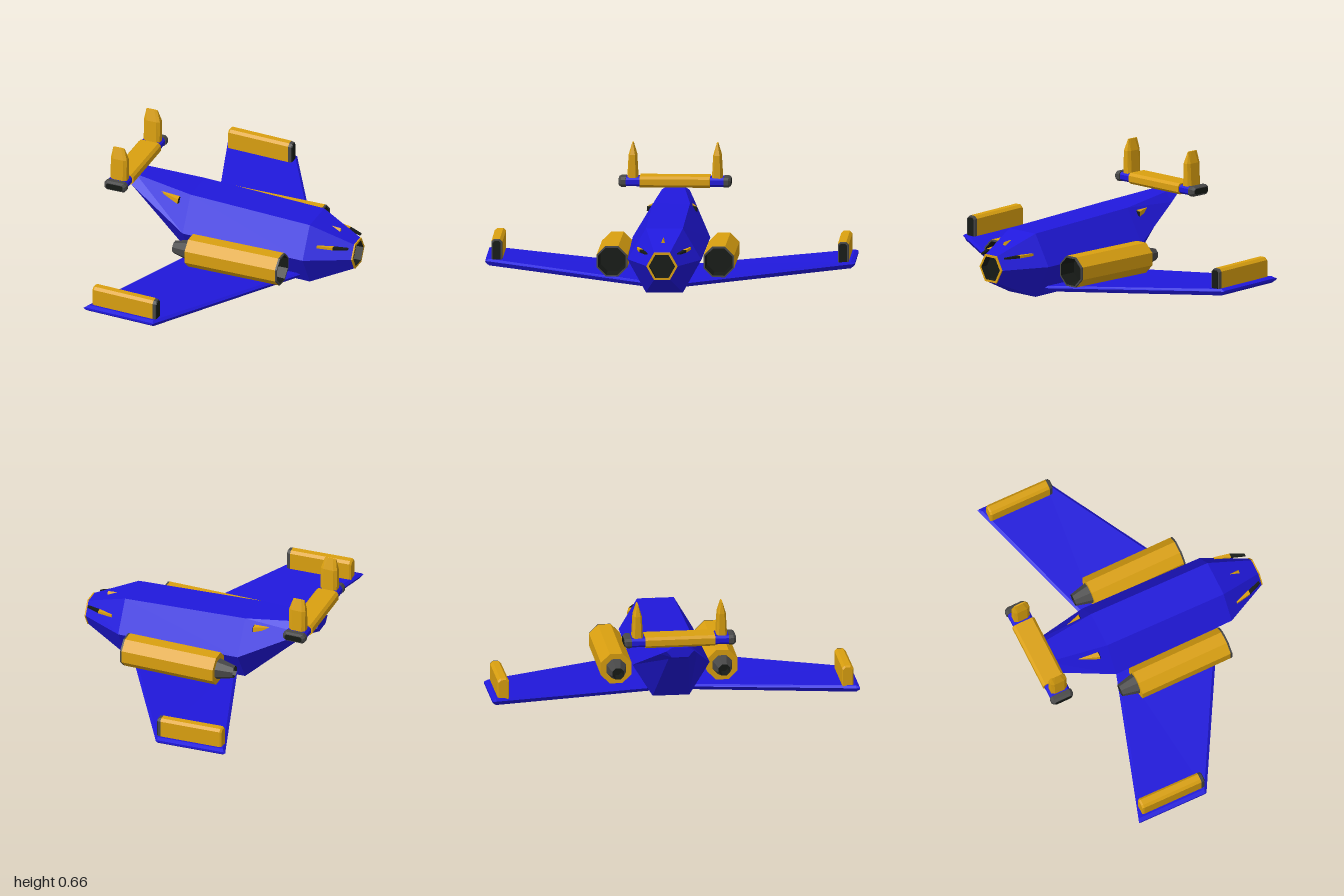
import * as THREE from 'three';

const paint = (color) => new THREE.MeshStandardMaterial({ color, flatShading: true, side: THREE.DoubleSide });

// Skin a list of equal-length rings of [x, y, z]; caps close the two ends.
function loft(rings, capStart = true, capEnd = true) {
  const tris = [];
  const n = rings[0].length;
  for (let i = 0; i < rings.length - 1; i++) {
    for (let j = 0; j < n; j++) {
      const k = (j + 1) % n;
      const a = rings[i][j], b = rings[i][k], c = rings[i + 1][k], d = rings[i + 1][j];
      tris.push([a, b, c], [a, c, d]);
    }
  }
  const first = rings[0], last = rings[rings.length - 1];
  for (let j = 1; j < n - 1; j++) {
    if (capStart) tris.push([first[0], first[j + 1], first[j]]);
    if (capEnd) tris.push([last[0], last[j], last[j + 1]]);
  }
  // Turn the faces outward, so mirrored rings work too
  const [cx, cy, cz] = first[0];
  const centre = new THREE.Vector3(cx, cy, cz);
  let volume = 0;
  for (const t of tris) {
    const [p, q, r] = t.map((v) => new THREE.Vector3(...v).sub(centre));
    volume += p.dot(q.cross(r));
  }
  if (volume < 0) tris.forEach((t) => t.reverse());
  const geometry = new THREE.BufferGeometry();
  geometry.setAttribute('position', new THREE.Float32BufferAttribute(tris.flat(2), 3));
  geometry.computeVertexNormals();
  return geometry;
}

// Hexagon across the hull: flat top and bottom, widest at mid height
const hex = (x, bottom, mid, top, half, flat) => [
  [x, top, flat], [x, mid, half], [x, bottom, flat],
  [x, bottom, -flat], [x, mid, -half], [x, top, -flat],
];

// Regular ring facing along x
const ring = (x, y, z, r, sides = 8) => Array.from({ length: sides }, (_, i) => {
  const a = ((i + 0.5) / sides) * Math.PI * 2;
  return [x, y + r * Math.cos(a), z + r * Math.sin(a)];
});

// Chamfered rectangle at z, spanning x and y
const chamferXY = (z, x0, x1, y0, y1, c) => [
  [x0 + c, y0, z], [x1 - c, y0, z], [x1, y0 + c, z], [x1, y1 - c, z],
  [x1 - c, y1, z], [x0 + c, y1, z], [x0, y1 - c, z], [x0, y0 + c, z],
];

// Rectangle at x with chamfered top corners
const podSection = (x, z, half, y0, y1, c) => [
  [x, y0, z - half], [x, y0, z + half], [x, y1 - c, z + half],
  [x, y1, z + half - c], [x, y1, z - half + c], [x, y1 - c, z - half],
];

export function createModel() {
  const group = new THREE.Group();
  const blue = paint(0x2018dc), gold = paint(0xdaa010), dark = paint(0x161a16), grey = paint(0x484848);
  const add = (name, geometry, material) => {
    const mesh = new THREE.Mesh(geometry, material);
    mesh.name = name;
    group.add(mesh);
  };

  // Faceted hull, tail to nose
  add('hull', loft([
    hex(-0.67, 0.365, 0.4, 0.42, 0.075, 0.045),
    hex(-0.6, 0.335, 0.365, 0.415, 0.1, 0.055),
    hex(-0.26, 0.02, 0.2, 0.385, 0.21, 0.1),
    hex(0.44, 0, 0.18, 0.35, 0.2, 0.1),
    hex(0.68, 0.105, 0.178, 0.25, 0.083, 0.042),
  ], true, false), blue);

  // Nose intake: gold rim around a dark recess
  const rim = hex(0.683, 0.103, 0.178, 0.252, 0.085, 0.043);
  const mouth = hex(0.683, 0.115, 0.178, 0.24, 0.071, 0.036);
  add('noseRim', loft([hex(0.675, 0.103, 0.178, 0.252, 0.085, 0.043), rim, mouth], false, false), gold);
  add('noseIntake', loft([mouth, hex(0.64, 0.115, 0.178, 0.24, 0.071, 0.036)], false, true), dark);

  // Nose top stud
  add('noseStud', loft([
    [[0.515, 0.315, 0], [0.515, 0.313, 0.004], [0.515, 0.313, -0.004]],
    [[0.58, 0.31, 0], [0.58, 0.285, 0.014], [0.58, 0.285, -0.014]],
  ]), gold);

  // Tail crossbar
  add('tailBar', loft([
    chamferXY(-0.19, -0.688, -0.558, 0.425, 0.485, 0.014),
    chamferXY(0.19, -0.688, -0.558, 0.425, 0.485, 0.014),
  ]), gold);

  for (const s of [1, -1]) {
    const side = s > 0 ? 'right' : 'left';

    // Swept wing, with a bevelled edge all round
    const wingSection = (z, rear, front, yRear, yFront, thick, inset) => [
      [rear, yRear, z * s], [rear + inset, yRear + thick * 0.35, z * s],
      [front - inset, yFront + thick * 0.35, z * s], [front, yFront, z * s],
      [front - inset, yFront - thick * 0.65, z * s], [rear + inset, yRear - thick * 0.65, z * s],
    ];
    add(side + 'Wing', loft([
      wingSection(0.08, -0.21, 0.42, 0.05, 0.043, 0.03, 0.015),
      wingSection(0.98, -0.5, -0.09, 0.096, 0.084, 0.036, 0.015),
      wingSection(1.0, -0.507, -0.1, 0.096, 0.084, 0.012, 0.01),
    ]), blue);

    // Wingtip pod with dark front
    const podFront = podSection(-0.115, 0.938 * s, 0.03, 0.085, 0.203, 0.014);
    const podMouth = podSection(-0.094, 0.938 * s, 0.022, 0.094, 0.194, 0.01);
    add(side + 'WingPod', loft([
      podSection(-0.47, 0.938 * s, 0.026, 0.095, 0.207, 0.014),
      podSection(-0.46, 0.938 * s, 0.031, 0.095, 0.214, 0.014),
      podFront,
    ]), gold);
    add(side + 'WingPodFront', loft([podFront, podSection(-0.098, 0.938 * s, 0.028, 0.087, 0.2, 0.014)]), grey);
    add(side + 'WingPodMouth', loft([podSection(-0.1, 0.938 * s, 0.022, 0.094, 0.194, 0.01), podMouth]), dark);

    // Engine: gold shell, dark throat and rear nozzle
    const ey = 0.156, ez = 0.289 * s;
    add(side + 'Engine', loft([ring(-0.18, ey, ez, 0.09), ring(0.35, ey, ez, 0.09)], true, false), gold);
    add(side + 'EngineLip', loft([
      ring(0.35, ey, ez, 0.09), ring(0.36, ey, ez, 0.089), ring(0.36, ey, ez, 0.08),
    ], false, false), grey);
    add(side + 'EngineThroat', loft([ring(0.36, ey, ez, 0.08), ring(0.27, ey, ez, 0.072)], false, true), dark);
    add(side + 'Nozzle', loft([ring(-0.18, ey, ez, 0.058), ring(-0.275, ey, ez, 0.034)], false, false), grey);
    add(side + 'NozzleInside', loft([ring(-0.275, ey, ez, 0.034), ring(-0.22, ey, ez, 0.026)], false, true), dark);

    // Crossbar end and its dark cap
    add(side + 'TailBarEnd', loft([
      chamferXY(0.19 * s, -0.68, -0.565, 0.43, 0.478, 0.012),
      chamferXY(0.27 * s, -0.68, -0.565, 0.43, 0.478, 0.012),
    ]), blue);
    add(side + 'TailBarCap', loft([
      chamferXY(0.265 * s, -0.686, -0.558, 0.427, 0.481, 0.014),
      chamferXY(0.29 * s, -0.686, -0.558, 0.427, 0.481, 0.014),
      chamferXY(0.303 * s, -0.675, -0.568, 0.435, 0.474, 0.012),
    ]), grey);
    add(side + 'TailBarVent', loft([
      chamferXY(0.3 * s, -0.67, -0.573, 0.439, 0.47, 0.008),
      chamferXY(0.305 * s, -0.67, -0.573, 0.439, 0.47, 0.008),
    ]), dark);

    // Upright tail fin, pinched to a ridge at the top
    const finRing = (y, x0, x1, half) => [
      [x0, y, 0.229 * s - half * 0.6], [x0 + 0.018, y, 0.229 * s - half], [x1 - 0.018, y, 0.229 * s - half],
      [x1, y, 0.229 * s - half * 0.6], [x1, y, 0.229 * s + half * 0.6], [x1 - 0.018, y, 0.229 * s + half],
      [x0 + 0.018, y, 0.229 * s + half], [x0, y, 0.229 * s + half * 0.6],
    ];
    add(side + 'TailFin', loft([
      finRing(0.46, -0.668, -0.574, 0.03),
      finRing(0.6, -0.668, -0.574, 0.022),
      finRing(0.663, -0.658, -0.594, 0.004),
    ]), gold);

    // Rear scoop: gold wedge with a dark mouth
    const scoop = [[-0.32, 0.366, 0.105 * s], [-0.32, 0.36, 0.135 * s], [-0.32, 0.332, 0.138 * s], [-0.32, 0.335, 0.1 * s]];
    add(side + 'Scoop', loft([
      [[-0.455, 0.37, 0.085 * s], [-0.455, 0.368, 0.09 * s], [-0.455, 0.364, 0.09 * s], [-0.455, 0.364, 0.085 * s]],
      scoop,
    ]), gold);
    add(side + 'ScoopMouth', loft([
      scoop, scoop.map(([x, y, z]) => [x + 0.004, 0.349 + (y - 0.349) * 0.7, 0.12 * s + (z - 0.12 * s) * 0.7]),
    ]), dark);

    // Slim dart on each side of the nose
    const dart = (x, y, z, w, h) => [
      [x, y - h, (z - w) * s], [x, y - h, (z + w) * s], [x, y + h, (z + w) * s], [x, y + h, (z - w) * s],
    ];
    add(side + 'NoseDart', loft([dart(0.5, 0.25, 0.142, 0.004, 0.007), dart(0.585, 0.247, 0.117, 0.012, 0.007)]), gold);
    add(side + 'NoseDartTip', loft([dart(0.585, 0.247, 0.117, 0.011, 0.007), dart(0.66, 0.243, 0.088, 0.008, 0.004)]), dark);
  }
  return group;
}
